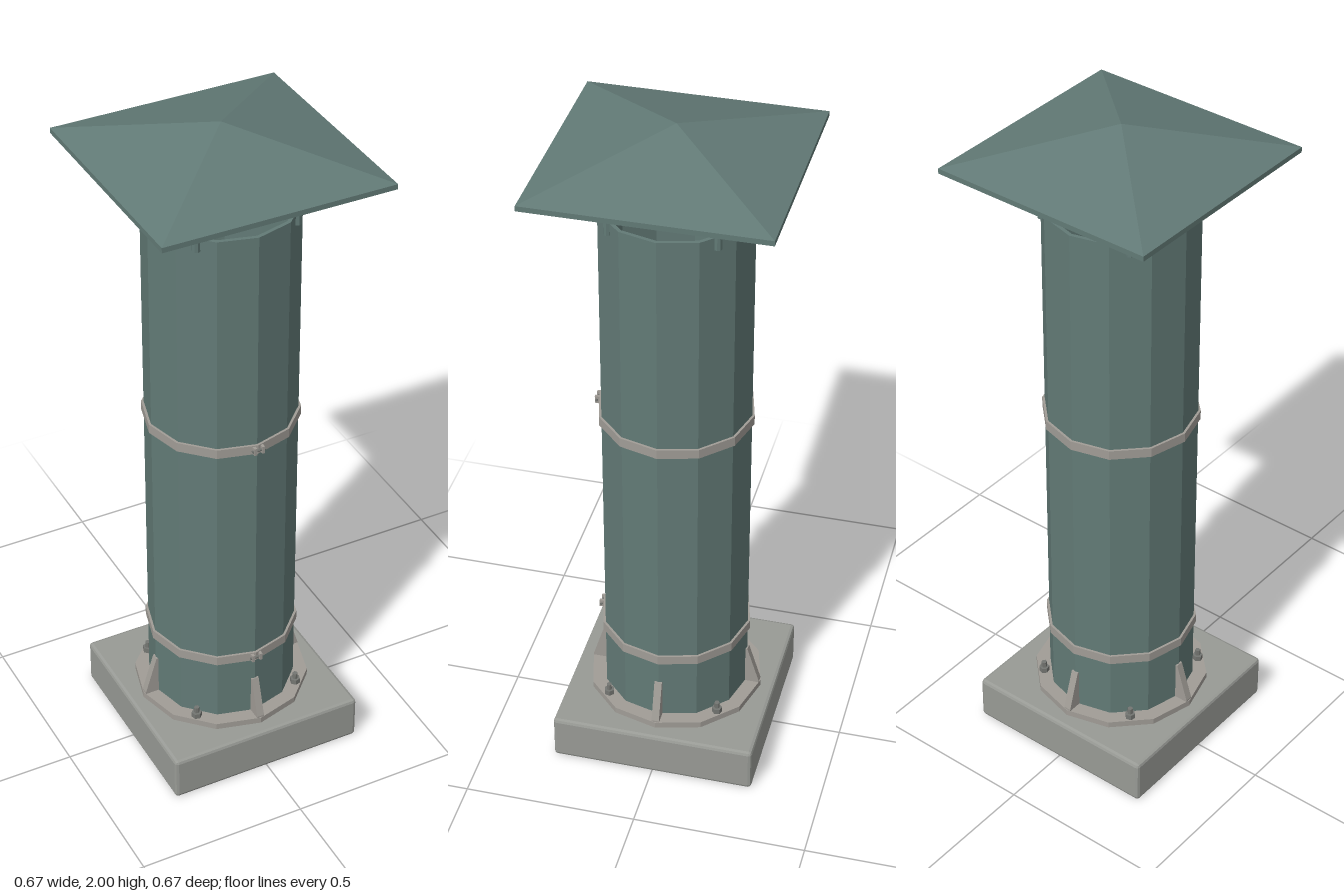
import * as THREE from 'three';
import { RoundedBoxGeometry } from 'three/addons/geometries/RoundedBoxGeometry.js';

const green = new THREE.MeshStandardMaterial({ color: 0x627a76, name: 'green painted metal' });
const concrete = new THREE.MeshStandardMaterial({ color: 0x989a95, name: 'concrete' });
const steel = new THREE.MeshStandardMaterial({ color: 0xa09c96, name: 'steel' });
const bare = new THREE.MeshStandardMaterial({ color: 0x747672, name: 'dark steel' });

const SIDES = 12;

// Faceted copy of a geometry
function flat(geometry) {
  const g = geometry.index ? geometry.toNonIndexed() : geometry;
  g.computeVertexNormals();
  return g;
}

function part(name, geometry, material, parent, x = 0, y = 0, z = 0) {
  const mesh = new THREE.Mesh(flat(geometry), material);
  mesh.name = name;
  mesh.position.set(x, y, z);
  parent.add(mesh);
  return mesh;
}

// Twelve-sided ring with a rectangular section
function ring(inner, outer, y0, y1) {
  const profile = [[inner, y0], [outer, y0], [outer, y1], [inner, y1], [inner, y0]];
  return new THREE.LatheGeometry(profile.map(p => new THREE.Vector2(...p)), SIDES);
}

// Child group turned about the vertical axis
function turned(name, angle, parent) {
  const g = new THREE.Group();
  g.name = name;
  g.rotation.y = angle;
  parent.add(g);
  return g;
}

export function createModel() {
  const model = new THREE.Group();
  model.name = 'chimney';

  // Foundation and tube
  part('base', new RoundedBoxGeometry(0.594, 0.136, 0.594, 1, 0.01), concrete, model, 0, 0.068, 0);
  part('flange', ring(0.2, 0.256, 0.13, 0.155), steel, model);
  part('tube', ring(0.203, 0.214, 0.136, 1.77), green, model);

  // Clamp bands, each closed at the front by two ears and a bolt
  for (const y of [0.365, 1.103]) {
    const clamp = new THREE.Group();
    clamp.name = 'clamp';
    model.add(clamp);
    part('band', ring(0.21, 0.221, y - 0.014, y + 0.014), steel, clamp);
    for (const s of [-1, 1]) {
      part('clampEar', new THREE.BoxGeometry(0.008, 0.022, 0.02), steel, clamp, s * 0.012, y, 0.22);
    }
    const bolt = part('clampBolt', new THREE.CylinderGeometry(0.004, 0.004, 0.04, 6), bare, clamp, 0, y, 0.224);
    bolt.rotation.z = Math.PI / 2;
  }

  // Triangular gussets on the four sides
  const outline = new THREE.Shape([[0.2, 0.15], [0.253, 0.15], [0.253, 0.16], [0.217, 0.277], [0.2, 0.277]]
    .map(p => new THREE.Vector2(...p)));
  for (let i = 0; i < 4; i++) {
    const side = turned('gussetSide', i * Math.PI / 2, model);
    part('gusset', new THREE.ExtrudeGeometry(outline, { depth: 0.022, bevelEnabled: false }), steel, side, 0, 0, -0.011);
  }

  // Anchor bolts and roof posts on the diagonals
  for (let i = 0; i < 4; i++) {
    const corner = turned('corner', Math.PI / 4 + i * Math.PI / 2, model);
    part('anchorNut', new THREE.CylinderGeometry(0.015, 0.015, 0.016, 6), bare, corner, 0, 0.163, 0.23);
    part('anchorBolt', new THREE.CylinderGeometry(0.008, 0.008, 0.034, 6), bare, corner, 0, 0.172, 0.23);
    part('roofPost', new THREE.CylinderGeometry(0.0115, 0.0115, 0.21, 8), green, corner, 0, 1.84, 0.208);
  }

  // Hollow pyramid roof
  const r = 0.333 * Math.SQRT2;
  const roof = [[0, 1.985], [r, 1.885], [r, 1.9], [0, 2]].map(p => new THREE.Vector2(...p));
  part('roof', new THREE.LatheGeometry(roof, 4, Math.PI / 4), green, model);

  return model;
}
